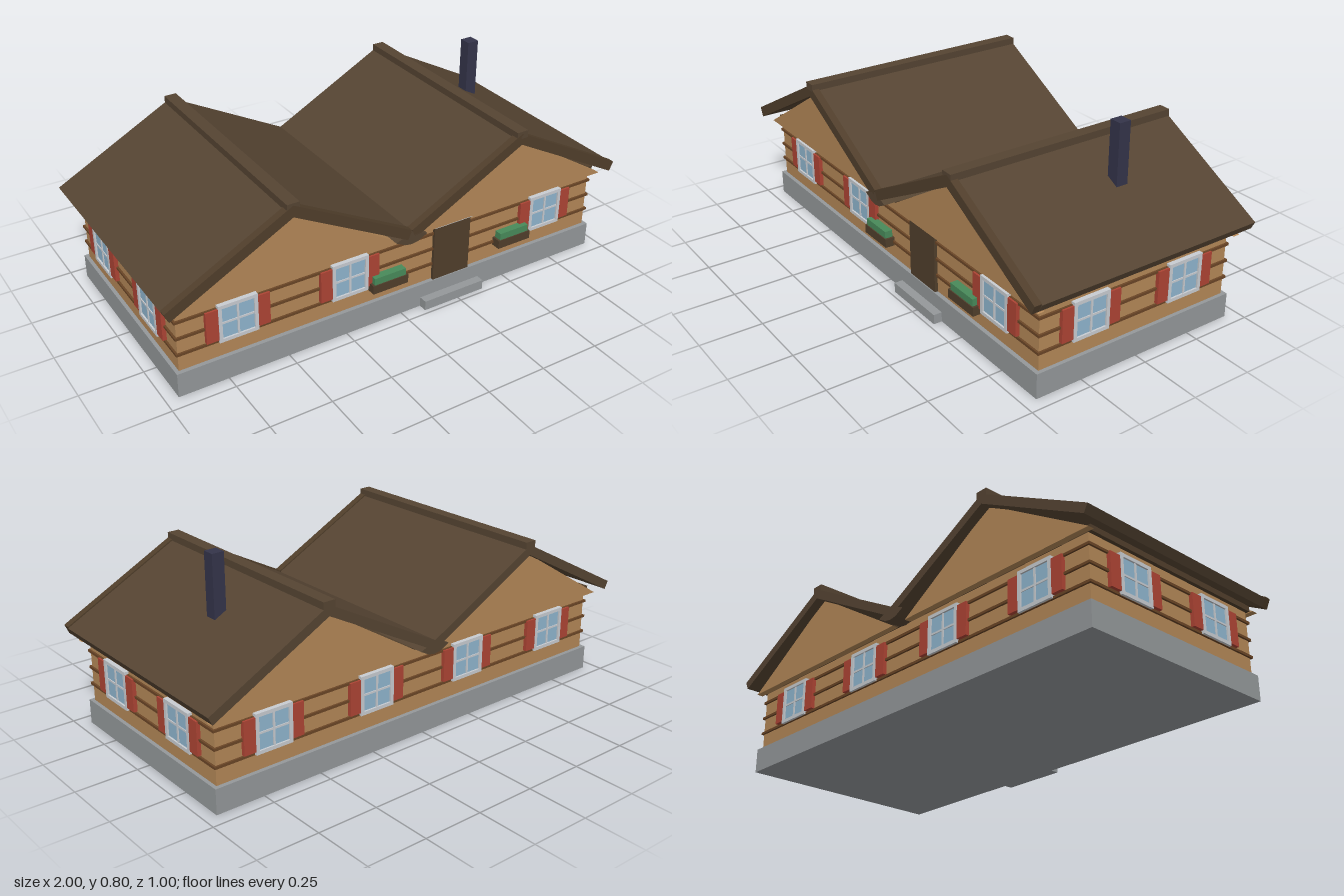
import * as THREE from 'three';

const mat = (name, color) => {
  const m = new THREE.MeshStandardMaterial({ color });
  m.name = name;
  return m;
};

export function createModel() {
  const house = new THREE.Group();
  house.name = 'logHouse';
  const stone = mat('stone', 0x94989a);
  const wood = mat('timber', 0xb38757);
  const groove = mat('logGroove', 0x6a4526);
  const roofing = mat('roofing', 0x554432);
  const darkWood = mat('darkWood', 0x503e2b);
  const white = mat('whiteTrim', 0xc8ccd1);
  const glass = mat('glass', 0x8fb5ce);
  const red = mat('shutterRed', 0xad4434);
  const green = mat('foliage', 0x488a5a);
  const metal = mat('chimneyMetal', 0x34344a);

  // Box given by its extents on each axis
  function box(name, material, [x0, x1], [y0, y1], [z0, z1], parent = house) {
    const m = new THREE.Mesh(new THREE.BoxGeometry(x1 - x0, y1 - y0, z1 - z0), material);
    m.position.set((x0 + x1) / 2, (y0 + y1) / 2, (z0 + z1) / 2);
    m.name = name;
    parent.add(m);
    return m;
  }

  // Cross-section in x and y, extruded from z0 to z1
  function prism(name, material, points, z0, z1, parent = house) {
    const shape = new THREE.Shape(points.map(([x, y]) => new THREE.Vector2(x, y)));
    const geo = new THREE.ExtrudeGeometry(shape, { depth: z1 - z0, bevelEnabled: false });
    const m = new THREE.Mesh(geo, material);
    m.position.z = z0;
    m.name = name;
    parent.add(m);
    return m;
  }

  // Base, step and walls
  box('foundation', stone, [-0.95, 0.95], [0, 0.1], [-0.445, 0.445]);
  box('doorStep', stone, [0.09, 0.37], [0, 0.04], [0.445, 0.48]);
  box('walls', wood, [-0.935, 0.935], [0.1, 0.355], [-0.428, 0.428]);
  for (const y of [0.172, 0.241, 0.31]) {
    box('logGroove', groove, [-0.943, 0.943], [y - 0.005, y + 0.005], [-0.436, 0.436]);
  }
  box('ceilingPlate', darkWood, [-0.95, 0.95], [0.354, 0.376], [-0.434, 0.434]);

  // Two gabled roofs side by side
  const slope = 0.53;
  for (const cx of [-0.5, 0.5]) {
    const gableRoof = new THREE.Group();
    gableRoof.name = 'gableRoof';
    gableRoof.position.x = cx;
    house.add(gableRoof);
    for (const z of [-0.46, 0.434]) {
      prism('gable', wood, [[-0.465, 0.351], [0.465, 0.351], [0, 0.637]], z, z + 0.026, gableRoof);
    }
    // Inverted V section, raised slightly for the front verge
    const section = lift => [
      [-0.5, 0.405 + lift], [-0.483, 0.373], [0, 0.373 + 0.483 * slope],
      [0.483, 0.373], [0.5, 0.405 + lift], [0, 0.405 + 0.5 * slope + lift],
    ];
    prism('roofSlabs', roofing, section(0), -0.5, 0.47, gableRoof);
    prism('frontVerge', darkWood, section(0.006), 0.47, 0.5, gableRoof);
    box('ridgeCap', roofing, [-0.025, 0.025], [0.655, 0.685], [-0.5, 0.5], gableRoof);
  }
  prism('valleyBeam', roofing,
    [[-0.07, 0.376], [-0.03, 0.355], [0, 0.35], [0.03, 0.355], [0.07, 0.376], [0, 0.404]], -0.5, 0.5);
  box('chimney', metal, [0.67, 0.72], [0.5, 0.8], [-0.125, -0.075]);

  // Shuttered window facing +z, its back on the wall plane
  function addWindow(x, z, turn) {
    const w = new THREE.Group();
    w.name = 'window';
    w.position.set(x, 0.247, z);
    w.rotation.y = turn;
    house.add(w);
    box('pane', glass, [-0.07, 0.07], [-0.07, 0.07], [0, 0.011], w);
    for (const s of [-1, 1]) {
      const a = s * 0.0715;
      box('frameSide', white, [a - 0.007, a + 0.007], [-0.0785, 0.0785], [0, 0.018], w);
      box('frameRail', white, [-0.0645, 0.0645], [a - 0.007, a + 0.007], [0, 0.018], w);
      const b = s * 0.103;
      box('shutter', red, [b - 0.0245, b + 0.0245], [-0.066, 0.066], [0, 0.016], w);
    }
    box('verticalBar', white, [-0.004, 0.004], [-0.0645, 0.0645], [0, 0.015], w);
    box('horizontalBar', white, [-0.0645, 0.0645], [-0.004, 0.004], [0, 0.014], w);
  }
  for (const x of [-0.7, -0.233, 0.7]) addWindow(x, 0.428, 0);
  for (const x of [-0.7, -0.233, 0.233, 0.7]) addWindow(x, -0.428, Math.PI);
  for (const s of [-1, 1]) {
    for (const z of [-0.215, 0.215]) addWindow(s * 0.935, z, s * Math.PI / 2);
  }

  // Door and lintel
  box('door', darkWood, [0.15, 0.32], [0.1, 0.34], [0.42, 0.441]);
  box('doorLintel', white, [0.148, 0.322], [0.34, 0.347], [0.42, 0.449]);

  // Flower boxes
  for (const x of [-0.067, 0.53]) {
    box('flowerBox', darkWood, [x - 0.079, x + 0.079], [0.155, 0.191], [0.428, 0.468]);
    box('plants', green, [x - 0.07, x + 0.07], [0.191, 0.22], [0.432, 0.464]);
  }
  return house;
}
